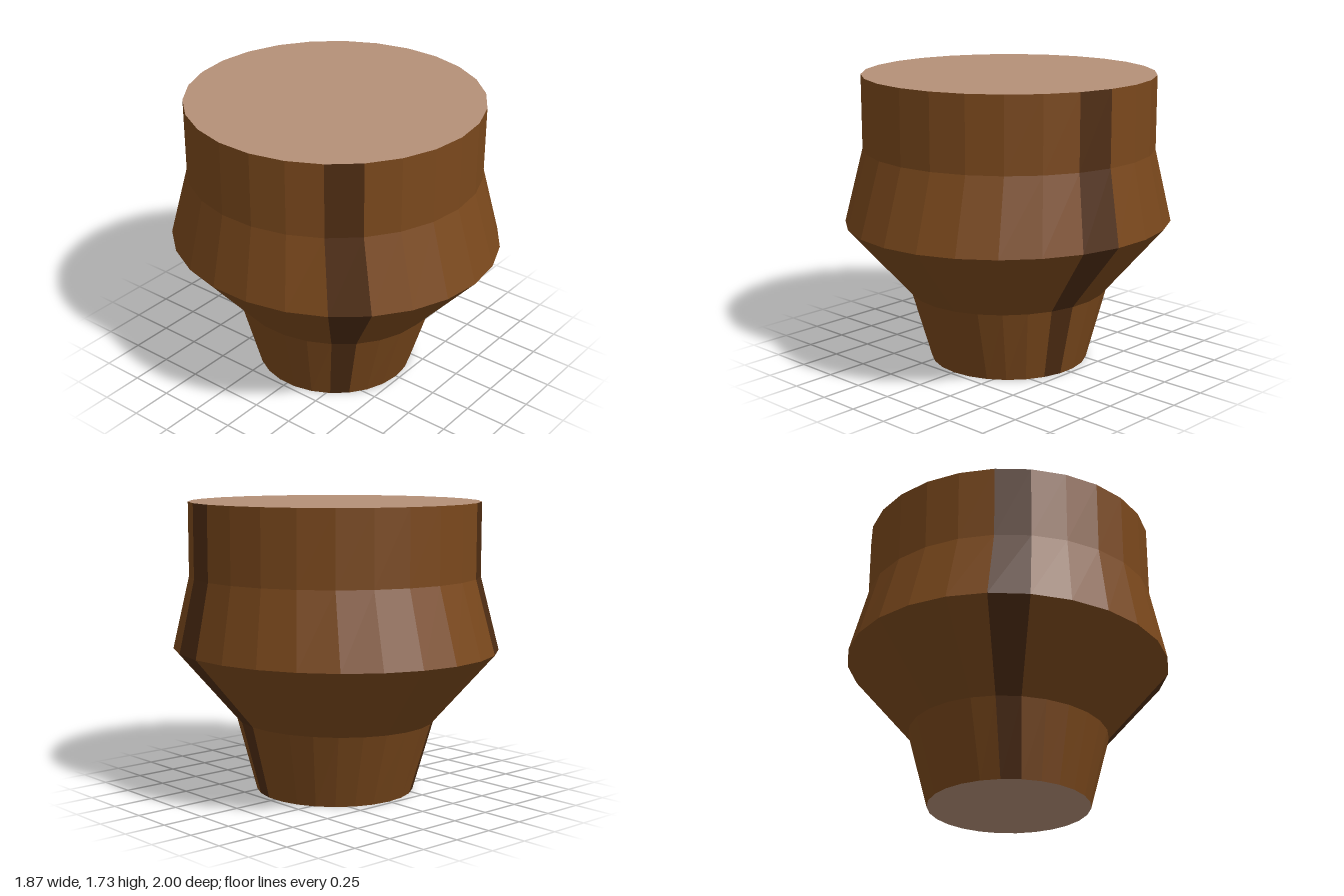
import * as THREE from 'three';

const SIDES = 26;
// Rings of the shell: [height, x radius, z radius]
const RINGS = [
  [0, 0.47, 0.475],
  [0.435, 0.575, 0.615],
  [0.865, 0.942, 1.0],
  [1.295, 0.861, 0.865],
  [1.73, 0.861, 0.865],
];
// Staves made of darker wood
const DARK = [5, 15, 22];

const point = ([y, rx, rz], k) => {
  const a = (k / SIDES) * Math.PI * 2;
  return [rx * Math.sin(a), y, rz * Math.cos(a)];
};

function makeMesh(name, positions, material) {
  const geometry = new THREE.BufferGeometry();
  geometry.setAttribute('position', new THREE.Float32BufferAttribute(positions, 3));
  geometry.computeVertexNormals();
  const mesh = new THREE.Mesh(geometry, material);
  mesh.name = name;
  return mesh;
}

// Wall panels for the chosen staves, one quad between each pair of rings
function staves(name, indices, material) {
  const positions = [];
  for (const k of indices) {
    for (let r = 0; r < RINGS.length - 1; r++) {
      const a = point(RINGS[r], k), b = point(RINGS[r], k + 1);
      const c = point(RINGS[r + 1], k + 1), d = point(RINGS[r + 1], k);
      positions.push(...a, ...b, ...c, ...a, ...c, ...d);
    }
  }
  return makeMesh(name, positions, material);
}

// Flat disc closing one end
function cap(name, ring, up, material) {
  const positions = [];
  for (let k = 0; k < SIDES; k++) {
    const a = point(ring, k), b = point(ring, k + 1);
    positions.push(0, ring[0], 0, ...(up ? a : b), ...(up ? b : a));
  }
  return makeMesh(name, positions, material);
}

export function createModel() {
  const wood = new THREE.MeshStandardMaterial({ color: 0x7a481c, flatShading: true });
  const darkWood = new THREE.MeshStandardMaterial({ color: 0x4f2d13, flatShading: true });
  const skin = new THREE.MeshStandardMaterial({ color: 0xb59078, flatShading: true });

  const all = Array.from({ length: SIDES }, (_, k) => k);
  const group = new THREE.Group();
  group.name = 'drum';
  group.add(
    staves('shell', all.filter((k) => !DARK.includes(k)), wood),
    staves('darkStaves', DARK, darkWood),
    cap('drumHead', RINGS[RINGS.length - 1], true, skin),
    cap('base', RINGS[0], false, skin),
  );
  return group;
}
